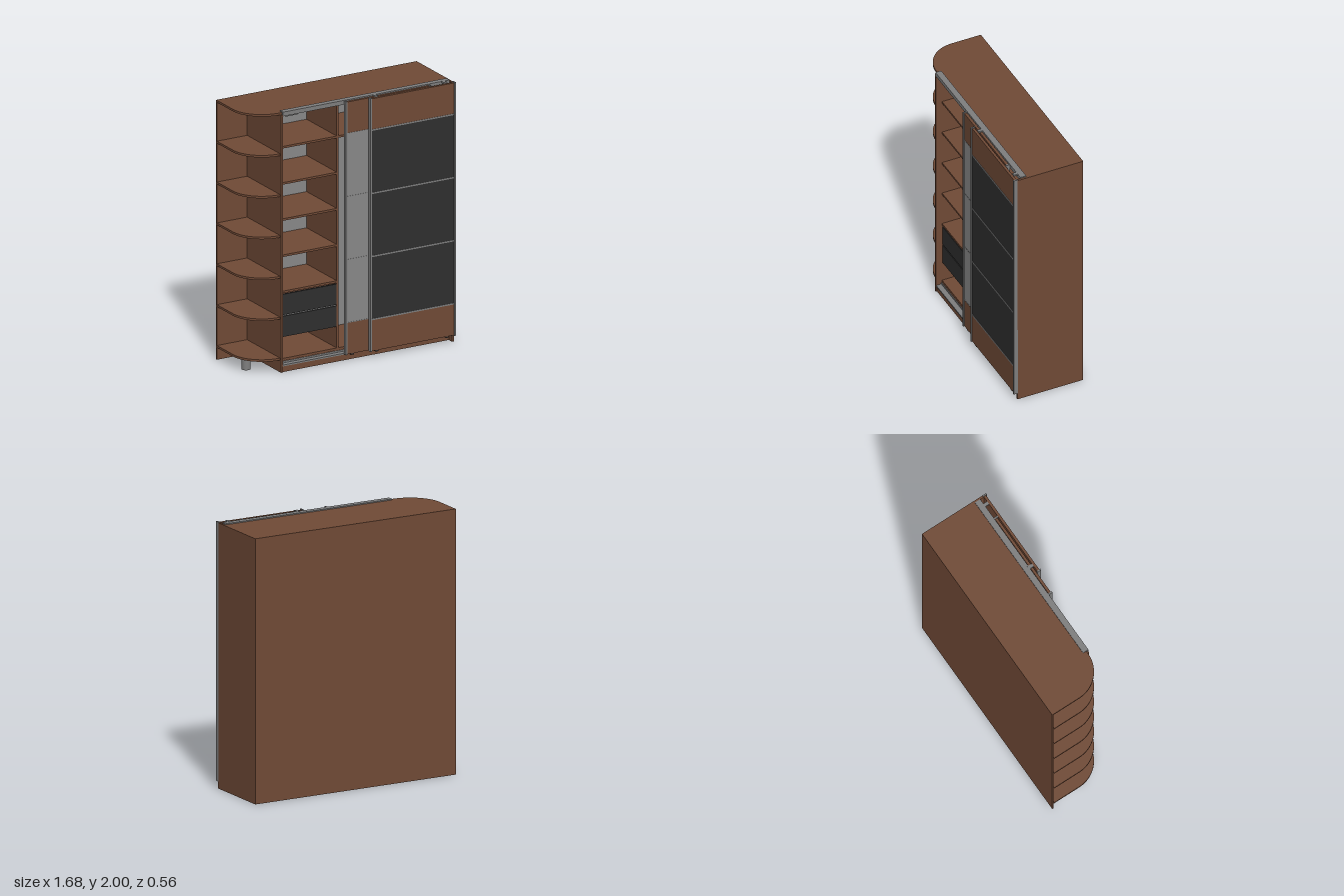
import * as THREE from 'three';
import { toCreasedNormals } from 'three/addons/utils/BufferGeometryUtils.js';

export function createModel() {
  const model = new THREE.Group();
  model.name = 'slidingDoorWardrobe';

  const material = (name, color) => {
    const m = new THREE.MeshStandardMaterial({ color });
    m.name = name;
    return m;
  };
  const wood = material('brownWood', 0x704a36);
  const mirror = material('paleGreyPanel', 0x888888);
  const metal = material('greyMetal', 0x7e7e7e);
  const dark = material('charcoalPanel', 0x2f2f2f);

  // Box given by its limits along x, y and z
  const box = (name, mat, x0, x1, y0, y1, z0, z1, parent = model) => {
    const mesh = new THREE.Mesh(new THREE.BoxGeometry(x1 - x0, y1 - y0, z1 - z0), mat);
    mesh.position.set((x0 + x1) / 2, (y0 + y1) / 2, (z0 + z1) / 2);
    mesh.name = name;
    parent.add(mesh);
    return mesh;
  };

  // Horizontal board with a rounded front corner at the open end
  const roundedBoard = (name, x1, y, thickness) => {
    const left = -0.845, front = 0.2, back = -0.27, r = 0.245;
    const s = new THREE.Shape();
    s.moveTo(left, -back);
    s.lineTo(left, -(front - r));
    s.absarc(left + r, -(front - r), r, Math.PI, Math.PI * 1.5, false);
    s.lineTo(x1, -front);
    s.lineTo(x1, -back);
    s.closePath();
    const raw = new THREE.ExtrudeGeometry(s, { depth: thickness, bevelEnabled: false, curveSegments: 24 });
    raw.rotateX(-Math.PI / 2);
    const mesh = new THREE.Mesh(toCreasedNormals(raw, 0.5), wood);
    mesh.position.y = y;
    mesh.name = name;
    model.add(mesh);
  };

  // Carcass
  box('backPanel', wood, -0.845, 0.84, 0, 1.99, -0.28, -0.27);
  box('rightSidePanel', wood, 0.824, 0.84, 0, 1.99, -0.27, 0.25);
  box('leftSidePanel', wood, -0.591, -0.576, 0, 1.974, -0.27, 0.215);
  box('bottomPanel', wood, -0.576, 0.824, 0.072, 0.088, -0.27, 0.165);
  box('plinth', wood, -0.576, 0.824, 0, 0.045, 0.19, 0.206);
  box('plinthBacking', wood, -0.576, 0.824, 0.045, 0.072, 0.15, 0.166);
  box('divider', wood, -0.094, -0.077, 0.088, 1.974, -0.265, 0.165);
  box('interiorBack', mirror, -0.576, 0.824, 0.088, 1.974, -0.27, -0.265);
  roundedBoard('roof', 0.824, 1.974, 0.016);

  // Open end shelves
  for (let i = 0; i < 6; i++) roundedBoard('endShelf', -0.591, 0.093 + i * 0.3135, 0.016);

  // Foot under the rounded end
  const foot = new THREE.Mesh(new THREE.CylinderGeometry(0.033, 0.033, 0.093, 24), metal);
  foot.position.set(-0.765, 0.0465, 0.01);
  foot.name = 'foot';
  model.add(foot);

  // Interior shelves
  for (let i = 0; i < 5; i++) {
    const y = 0.588 + i * 0.2775;
    box('innerShelf', wood, -0.576, -0.094, y, y + 0.016, -0.265, 0.165);
  }
  box('upperShelf', wood, -0.077, 0.824, 1.698, 1.714, -0.265, 0.165);

  // Drawers
  for (const y of [0.252, 0.42]) {
    const drawer = new THREE.Group();
    drawer.name = 'drawer';
    model.add(drawer);
    box('drawerFront', dark, -0.574, -0.096, y, y + 0.158, 0.148, 0.164, drawer);
    box('drawerBody', wood, -0.56, -0.11, y + 0.01, y + 0.13, -0.24, 0.148, drawer);
  }
  box('drawerGapStrip', metal, -0.574, -0.096, 0.41, 0.42, 0.14, 0.155);

  // Sliding tracks
  box('topTrack', metal, -0.576, 0.824, 1.99, 1.998, 0.172, 0.218);
  box('topTrackLip', metal, -0.576, 0.824, 1.966, 1.998, 0.202, 0.218);
  box('bottomTrack', metal, -0.576, 0.824, 0.045, 0.056, 0.165, 0.212);
  box('bottomTrackLip', metal, -0.576, 0.824, 0.056, 0.068, 0.167, 0.172);
  box('trackStop', metal, -0.54, -0.44, 1.95, 1.962, 0.175, 0.195);

  // Sliding door: wood ends, three middle panes, metal frame
  const door = (name, x0, z0, paneMat, barMat, barHeight) => {
    const g = new THREE.Group();
    g.name = name;
    model.add(g);
    const x1 = x0 + 0.715, z1 = z0 + 0.02;
    const levels = [0.297, 0.781, 1.265, 1.75];
    box('lowerDoorPanel', wood, x0 + 0.01, x1 - 0.01, 0.055, levels[0], z0, z1, g);
    box('upperDoorPanel', wood, x0 + 0.01, x1 - 0.01, levels[3], 1.99, z0, z1, g);
    for (let i = 0; i < 3; i++) {
      box('doorPane', paneMat, x0 + 0.01, x1 - 0.01, levels[i], levels[i + 1], z0, z1, g);
    }
    for (const y of levels) {
      box('doorBar', barMat, x0 + 0.012, x1 - 0.012, y - barHeight / 2, y + barHeight / 2, z0 - 0.002, z1 + 0.002, g);
    }
    for (const x of [x0, x1 - 0.012]) {
      box('doorStile', metal, x, x + 0.012, 0.052, 1.996, z0 - 0.004, z1 + 0.008, g);
    }
    // Guides and hangers
    for (const x of [x0 + 0.06, x1 - 0.065]) {
      box('bottomGuide', dark, x - 0.012, x + 0.012, 0.044, 0.056, z0 - 0.01, z1 - 0.003, g);
    }
  };
  door('rearDoor', -0.065, 0.222, mirror, mirror, 0.004);
  door('frontDoor', 0.125, 0.251, dark, metal, 0.011);

  for (const x of [0.19, 0.768]) {
    box('topHanger', metal, x - 0.013, x + 0.013, 1.988, 2.0, 0.208, 0.25);
  }

  return model;
}
